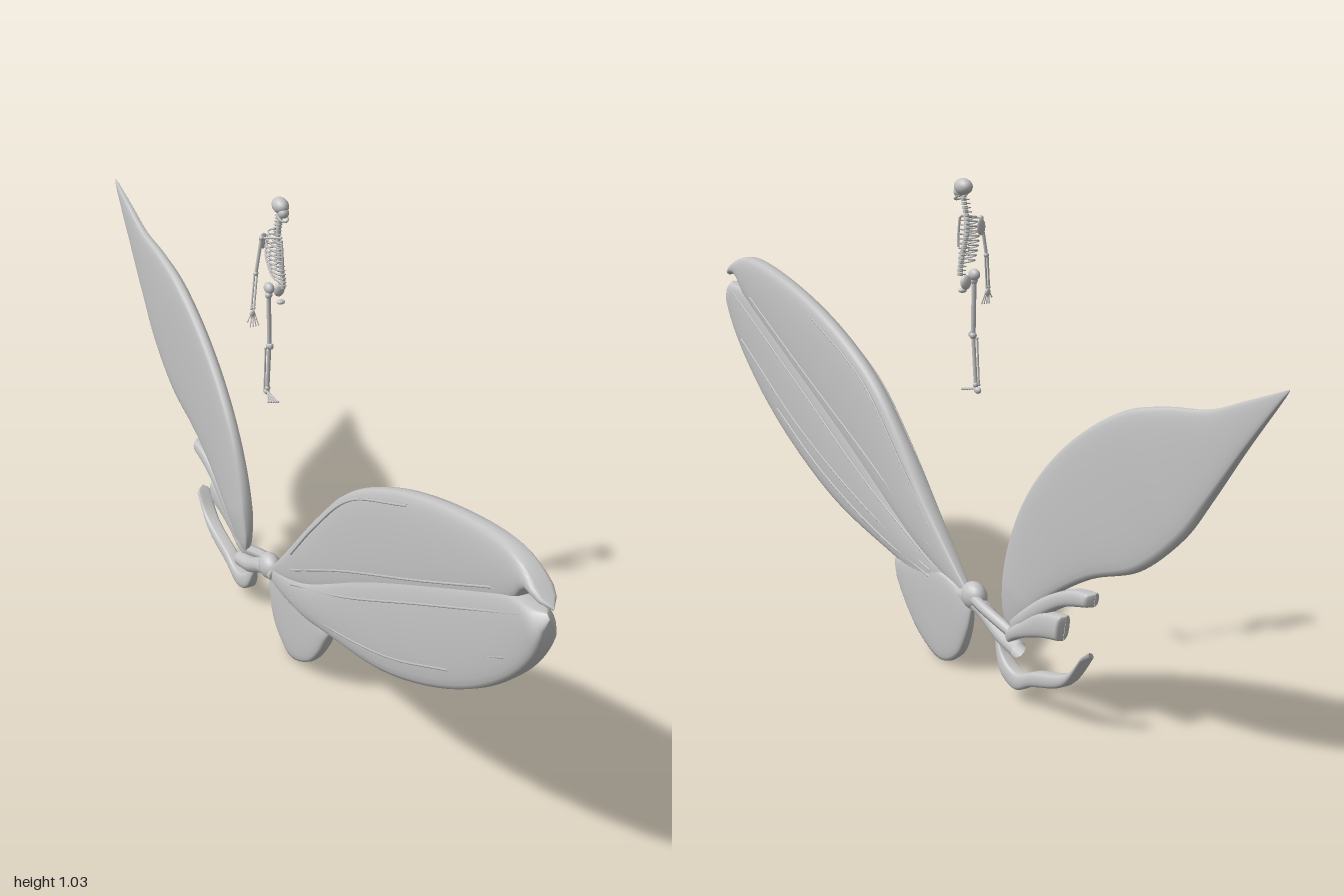
import * as THREE from 'three';

const grey = new THREE.MeshStandardMaterial({ color: 0xc4c4c4, side: THREE.DoubleSide });
grey.name = 'plain grey';

const V = (x, y, z) => new THREE.Vector3(x, y, z);

function add(parent, name, geometry) {
  const mesh = new THREE.Mesh(geometry, grey);
  mesh.name = name;
  parent.add(mesh);
  return mesh;
}

// Flattened pod lofted between an upper and a lower edge, both lists of [z, y]
function petal(parent, name, upper, lower, xc, width, start = 0.03, end = 0.2) {
  const edge = (pts) => new THREE.CatmullRomCurve3(pts.map(([z, y]) => V(0, y, z)), false, 'centripetal');
  const up = edge(upper), low = edge(lower);
  const rows = 60, ring = 28, pos = [], idx = [];
  for (let i = 0; i <= rows; i++) {
    const t = i / rows, a = up.getPointAt(t), b = low.getPointAt(t);
    const w = width * Math.sqrt(Math.min(1, t / start, (1 - t) / end)) + 0.0005;
    for (let j = 0; j < ring; j++) {
      const ang = (j / ring) * Math.PI * 2, s = Math.sin(ang);
      const p = a.clone().lerp(b, (1 - Math.cos(ang)) / 2);
      pos.push(xc + Math.sign(s) * Math.pow(Math.abs(s), 0.4) * w, p.y, p.z);
      if (i < rows) {
        const k = (j + 1) % ring, r = i * ring, n = r + ring;
        idx.push(r + j, r + k, n + j, r + k, n + k, n + j);
      }
    }
  }
  const g = new THREE.BufferGeometry();
  g.setAttribute('position', new THREE.Float32BufferAttribute(pos, 3));
  g.setIndex(idx);
  g.computeVertexNormals();
  add(parent, name, g);
}

function tube(parent, name, pts, radius, segments = 20, sides = 7) {
  return add(parent, name, new THREE.TubeGeometry(new THREE.CatmullRomCurve3(pts), segments, radius, sides));
}

function ball(parent, name, p, sx, sy, sz) {
  const m = add(parent, name, new THREE.SphereGeometry(1, 16, 12));
  m.position.copy(p);
  m.scale.set(sx, sy, sz);
}

// Straight shaft with a knob at each end
function bone(parent, name, a, b, r) {
  const m = add(parent, name, new THREE.CylinderGeometry(r, r, a.distanceTo(b), 8));
  m.position.copy(a).lerp(b, 0.5);
  m.quaternion.setFromUnitVectors(V(0, 1, 0), b.clone().sub(a).normalize());
  for (const p of [a, b]) ball(parent, name + 'Joint', p, r * 1.5, r * 1.5, r * 1.5);
}

function createFlower() {
  const f = new THREE.Group();
  f.name = 'flower';
  // Large front petal in two lobes with an open notch at the tip
  petal(f, 'upperFrontLobe',
    [[1, 0.71], [0.93, 0.752], [0.87, 0.763], [0.68, 0.73], [0.46, 0.655], [0.29, 0.56], [0.17, 0.447], [0.035, 0.3], [-0.06, 0.2], [-0.095, 0.165]],
    [[1, 0.705], [0.94, 0.715], [0.9, 0.67], [0.7, 0.55], [0.4, 0.39], [0.1, 0.23], [-0.09, 0.16]], 0.015, 0.022);
  petal(f, 'lowerFrontLobe',
    [[0.985, 0.692], [0.94, 0.69], [0.9, 0.685], [0.7, 0.59], [0.4, 0.43], [0.1, 0.25], [-0.09, 0.175]],
    [[0.995, 0.685], [0.99, 0.635], [0.945, 0.56], [0.84, 0.457], [0.68, 0.35], [0.46, 0.249], [0.2, 0.185], [0.08, 0.16], [-0.07, 0.15], [-0.095, 0.155]],
    0.013, 0.024);
  petal(f, 'hangingPetal',
    [[0.2, 0.188], [0.1, 0.2], [0, 0.2], [-0.06, 0.18], [-0.1, 0.155]],
    [[0.205, 0.18], [0.165, 0.11], [0.1, 0.04], [0.01, 0.003], [-0.055, 0.035], [-0.09, 0.1], [-0.1, 0.15]], 0.02, 0.015, 0.1);
  // Rear petal, pointed at the back
  petal(f, 'rearPetal',
    [[-1, 0.775], [-0.9, 0.738], [-0.81, 0.706], [-0.7, 0.69], [-0.58, 0.66], [-0.42, 0.57], [-0.29, 0.44], [-0.22, 0.3], [-0.205, 0.18], [-0.22, 0.14]],
    [[-1, 0.772], [-0.9, 0.65], [-0.82, 0.545], [-0.75, 0.46], [-0.635, 0.372], [-0.49, 0.318], [-0.37, 0.25], [-0.27, 0.17], [-0.23, 0.135]],
    0.013, 0.017, 0.4, 0.1);
  // Small torn petals below it
  petal(f, 'upperStrip', [[-0.51, 0.295], [-0.45, 0.288], [-0.36, 0.25], [-0.23, 0.16]],
    [[-0.505, 0.268], [-0.42, 0.245], [-0.34, 0.2], [-0.24, 0.13]], 0.018, 0.017);
  petal(f, 'lowerStrip', [[-0.425, 0.228], [-0.35, 0.215], [-0.29, 0.18], [-0.22, 0.135]],
    [[-0.415, 0.175], [-0.35, 0.163], [-0.28, 0.14], [-0.23, 0.115]], 0.022, 0.016);
  petal(f, 'curledStrip', [[-0.495, 0.175], [-0.44, 0.118], [-0.33, 0.085], [-0.27, 0.065], [-0.225, 0.085], [-0.19, 0.125]],
    [[-0.497, 0.165], [-0.43, 0.088], [-0.32, 0.05], [-0.265, 0.028], [-0.215, 0.05], [-0.185, 0.11]], 0.02, 0.016);
  // Stem and knot where the petals meet
  tube(f, 'stem', [V(0.014, 0.17, -0.06), V(0.014, 0.155, -0.13), V(0.014, 0.12, -0.2), V(0.014, 0.105, -0.255)], 0.018, 20, 12);
  tube(f, 'stemStrand', [V(0.02, 0.18, -0.08), V(0.026, 0.165, -0.15), V(0.02, 0.14, -0.235)], 0.012);
  ball(f, 'knot', V(0.014, 0.175, -0.095), 0.024, 0.03, 0.035);
  // Raised creases on both faces of the large petal
  const creases = [
    [[0.94, 0.67], [0.6, 0.49], [0.3, 0.33], [0.05, 0.215]],
    [[0.85, 0.67], [0.6, 0.54], [0.3, 0.39], [0.05, 0.25]],
    [[0.9, 0.56], [0.6, 0.39], [0.3, 0.27], [0.05, 0.195]],
    [[0.72, 0.42], [0.5, 0.31], [0.25, 0.225], [0.05, 0.18]],
    [[0.55, 0.67], [0.32, 0.56], [0.17, 0.42], [0.05, 0.29]],
  ];
  for (const side of [-1, 1]) {
    for (const c of creases) {
      tube(f, 'crease', c.map(([z, y], i) => V(0.014 + side * (i === 3 ? 0.018 : 0.0225), y, z)), 0.0025, 30, 6);
    }
  }
  return f;
}

function createSkeleton() {
  const s = new THREE.Group();
  s.name = 'halfSkeleton';
  // Skull
  ball(s, 'cranium', V(0.032, 1.019, -0.08), 0.016, 0.0165, 0.024);
  ball(s, 'face', V(0.032, 1.008, -0.064), 0.011, 0.011, 0.011);
  tube(s, 'jaw', [V(0.022, 1.002, -0.078), V(0.025, 0.994, -0.06), V(0.032, 0.992, -0.056), V(0.039, 0.994, -0.06), V(0.042, 1.002, -0.078)], 0.0025);
  // Spine, a stack of vertebrae
  for (let i = 0; i < 20; i++) {
    const t = i / 19;
    const m = add(s, 'vertebra', new THREE.CylinderGeometry(0.0055, 0.0055, 0.0065, 8));
    m.position.set(0.036, 0.995 - t * 0.15, -0.087 - 0.012 * Math.sin(t * Math.PI * 1.5));
    const spur = add(s, 'vertebraSpur', new THREE.BoxGeometry(0.016, 0.002, 0.008));
    spur.position.copy(m.position).add(V(0, 0, -0.005));
  }
  // Ribs on the right side only
  for (let i = 0; i < 10; i++) {
    const y = 0.962 - i * 0.0095, w = 0.022 + 0.012 * Math.sin((i + 1) / 10 * Math.PI);
    tube(s, 'rib', [V(0.033, y, -0.099), V(0.036 - w * 0.75, y - 0.001, -0.102), V(0.036 - w, y - 0.008, -0.078),
      V(0.038 - w * 0.75, y - 0.013, -0.055), V(0.022, y - 0.012, -0.048)], 0.0018, 16, 6);
  }
  tube(s, 'breastbone', [V(0.022, 0.955, -0.052), V(0.022, 0.92, -0.047), V(0.022, 0.895, -0.047)], 0.0025);
  // Shoulder and arm
  const shoulder = V(-0.008, 0.955, -0.083), elbow = V(-0.02, 0.88, -0.085), wrist = V(-0.034, 0.812, -0.07);
  bone(s, 'collarbone', V(0.024, 0.958, -0.06), shoulder, 0.002);
  ball(s, 'shoulderBlade', V(0.005, 0.94, -0.103), 0.01, 0.017, 0.003);
  bone(s, 'upperArm', shoulder, elbow, 0.0035);
  for (const d of [-0.003, 0.003]) bone(s, 'forearm', elbow.clone().add(V(d, 0, 0)), wrist.clone().add(V(d, 0, 0)), 0.002);
  ball(s, 'palm', V(-0.036, 0.802, -0.067), 0.006, 0.008, 0.004);
  for (let i = 0; i < 5; i++) bone(s, 'finger', V(-0.041 + i * 0.0025, 0.8, -0.066), V(-0.05 + i * 0.006, i === 0 ? 0.79 : 0.778, -0.06), 0.0012);
  // Pelvis
  ball(s, 'sacrum', V(0.036, 0.831, -0.095), 0.012, 0.015, 0.008);
  ball(s, 'pubis', V(0.031, 0.812, -0.076), 0.009, 0.005, 0.008);
  ball(s, 'hipBlade', V(0.009, 0.843, -0.085), 0.01, 0.012, 0.015);
  // Leg and foot
  const hip = V(0.006, 0.83, -0.08), knee = V(0.006, 0.718, -0.077), ankle = V(0.005, 0.618, -0.085);
  bone(s, 'thigh', hip, knee, 0.005);
  ball(s, 'kneecap', V(0.006, 0.72, -0.068), 0.005, 0.007, 0.004);
  bone(s, 'shin', knee, ankle, 0.004);
  bone(s, 'calfBone', knee.clone().add(V(-0.007, -0.006, -0.004)), ankle.clone().add(V(-0.006, 0, -0.003)), 0.002);
  ball(s, 'heel', V(0.005, 0.608, -0.092), 0.006, 0.007, 0.01);
  for (let i = 0; i < 5; i++) bone(s, 'toe', V(0.004, 0.61, -0.083), V(-0.008 + i * 0.0045, 0.603, -0.052 + i * 0.002), 0.0018);
  return s;
}

export function createModel() {
  const model = new THREE.Group();
  model.name = 'flowerAndSkeleton';
  model.add(createFlower(), createSkeleton());
  return model;
}
